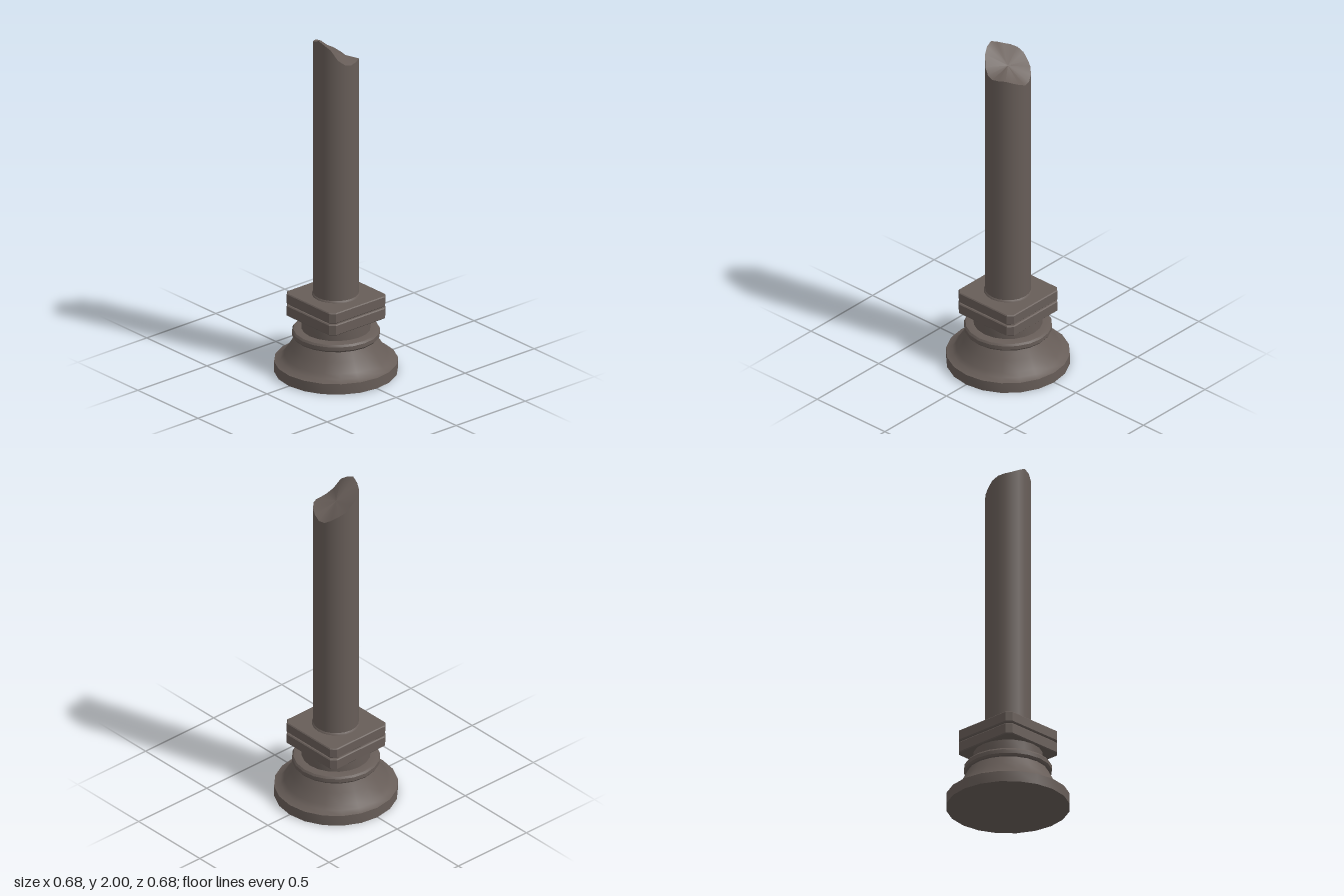
import * as THREE from 'three';
import { toCreasedNormals } from 'three/addons/utils/BufferGeometryUtils.js';

const SIDES = 20;

export function createModel() {
  const group = new THREE.Group();
  const stone = new THREE.MeshStandardMaterial({ color: 0x675d58 });
  stone.name = 'brown stone';

  const add = (name, geometry, y = 0) => {
    const mesh = new THREE.Mesh(geometry, stone);
    mesh.name = name;
    mesh.position.y = y;
    group.add(mesh);
  };
  const turned = (name, points) => add(name, toCreasedNormals(
    new THREE.LatheGeometry(points.map(([r, y]) => new THREE.Vector2(r, y)), SIDES), 0.6));

  // Round foot with a flared cone above it
  turned('foot', [[0, 0], [0.34, 0], [0.34, 0.062], [0.305, 0.075],
    [0.285, 0.098], [0.25, 0.152], [0.222, 0.205]]);
  // Rounded ring and neck
  turned('ring', [[0.215, 0.203], [0.234, 0.206], [0.242, 0.216], [0.242, 0.238],
    [0.234, 0.249], [0.218, 0.253], [0.19, 0.254]]);
  turned('neck', [[0.19, 0.25], [0.19, 0.325]]);

  // Square slabs with cut corners and bevelled edges
  const slab = (name, half, y, height, bevel) => {
    const h = half - bevel, c = h - 0.025;
    const shape = new THREE.Shape([[c, -h], [h, -c], [h, c], [c, h], [-c, h], [-h, c], [-h, -c], [-c, -h]]
      .map(([a, b]) => new THREE.Vector2(a, b)));
    const geometry = new THREE.ExtrudeGeometry(shape, {
      depth: height - 2 * bevel, bevelEnabled: true, bevelSize: bevel, bevelThickness: bevel, bevelSegments: 1,
    });
    geometry.translate(0, 0, bevel).rotateX(-Math.PI / 2);
    add(name, geometry, y);
  };
  slab('lowerSlab', 0.204, 0.32, 0.064, 0.005);
  slab('slabGroove', 0.19, 0.38, 0.018, 0.001);
  slab('upperSlab', 0.204, 0.392, 0.062, 0.005);

  // Small collar where the shaft meets the slab
  turned('shaftCollar', [[0.134, 0.45], [0.132, 0.458], [0.125, 0.465]]);

  // Shaft with a broken rim, heights listed around from the front
  const radius = 0.126;
  const rim = [2, 1.985, 1.96, 1.9, 1.87, 1.86, 1.865, 1.868, 1.855, 1.838,
    1.82, 1.822, 1.845, 1.87, 1.89, 1.925, 1.945, 1.955, 1.965, 1.982];
  const shaft = new THREE.CylinderGeometry(radius, radius, 1, SIDES, 1, true);
  const p = shaft.attributes.position;
  for (let i = 0; i <= SIDES; i++) {
    p.setY(i, rim[i % SIDES]);
    p.setY(i + SIDES + 1, 0.452);
  }
  add('shaft', shaft);

  // Sloping broken face
  const verts = [0, 1.895, 0], index = [];
  rim.forEach((y, i) => {
    const a = (i / SIDES) * Math.PI * 2;
    verts.push(radius * Math.sin(a), y, radius * Math.cos(a));
    index.push(0, i + 1, ((i + 1) % SIDES) + 1);
  });
  const face = new THREE.BufferGeometry();
  face.setAttribute('position', new THREE.Float32BufferAttribute(verts, 3));
  face.setIndex(index);
  face.computeVertexNormals();
  add('brokenFace', toCreasedNormals(face, 0.5));

  return group;
}
